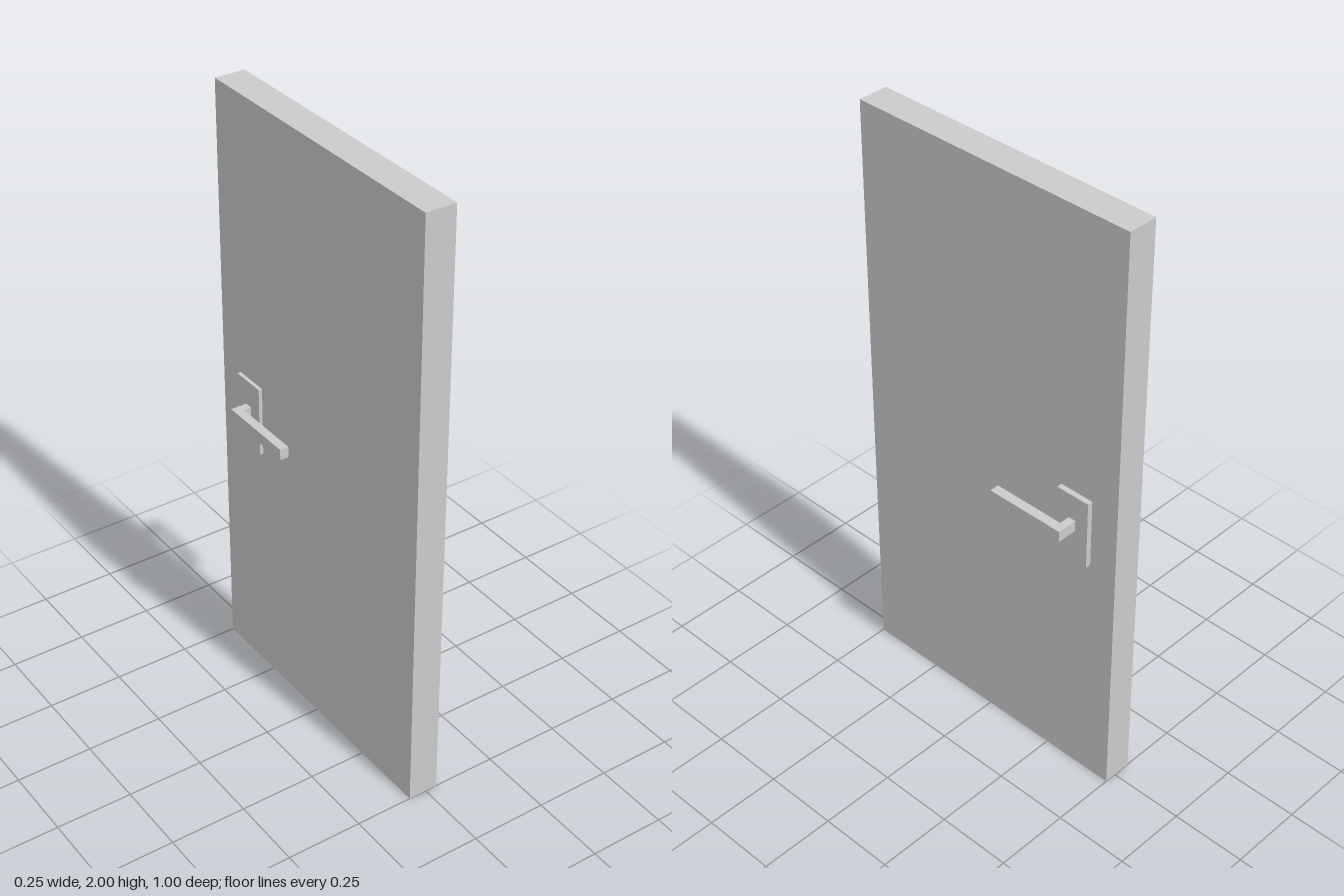
import * as THREE from 'three';

const material = new THREE.MeshStandardMaterial({ color: 0xcccccc, flatShading: true });

// Box given by its min and max corners
function box(name, [x0, y0, z0], [x1, y1, z1]) {
  const mesh = new THREE.Mesh(new THREE.BoxGeometry(x1 - x0, y1 - y0, z1 - z0), material);
  mesh.position.set((x0 + x1) / 2, (y0 + y1) / 2, (z0 + z1) / 2);
  mesh.name = name;
  return mesh;
}

// L-shaped lever: an outline in x and z, extruded upwards
function lever(name, xPlate, xInner, xOuter, zTip) {
  const zBack = -0.358, zNeck = -0.333, yBottom = 0.942, yTop = 0.979;
  const outline = [
    [xPlate, zBack], [xOuter, zBack], [xOuter, zTip],
    [xInner, zTip], [xInner, zNeck], [xPlate, zNeck],
  ];
  const shape = new THREE.Shape(outline.map(([x, z]) => new THREE.Vector2(x, -z)));
  const geometry = new THREE.ExtrudeGeometry(shape, { depth: yTop - yBottom, bevelEnabled: false });
  geometry.rotateX(-Math.PI / 2);
  const mesh = new THREE.Mesh(geometry, material);
  mesh.position.y = yBottom;
  mesh.name = name;
  return mesh;
}

export function createModel() {
  const door = new THREE.Group();
  door.name = 'door';

  // Plain slab
  door.add(box('doorPanel', [-0.06, 0, -0.5], [0.04, 2, 0.5]));

  // Handle plates on both faces
  door.add(box('leftPlate', [0.04, 0.83, -0.404], [0.058, 1.065, -0.286]));
  door.add(box('rightPlate', [-0.072, 0.83, -0.404], [-0.06, 1.065, -0.286]));

  // Levers reaching towards the middle of the door
  door.add(lever('leftLever', 0.058, 0.094, 0.126, -0.086));
  door.add(lever('rightLever', -0.072, -0.098, -0.127, -0.088));

  return door;
}
